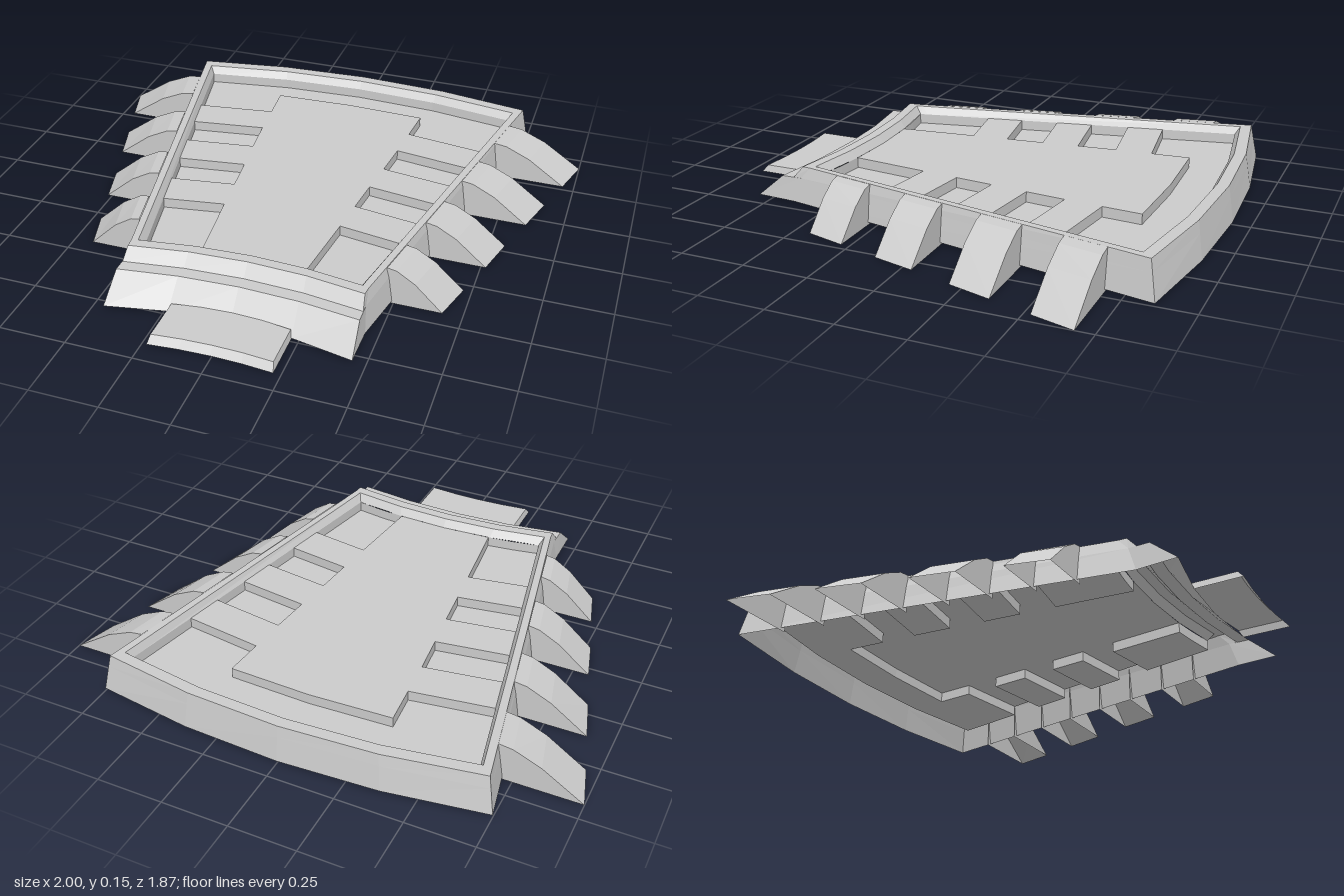
import * as THREE from 'three';

const material = new THREE.MeshStandardMaterial({
  color: 0xcccccc, flatShading: true, side: THREE.DoubleSide,
});

// Skin between successive rows of points
function loft(rows, closed = false) {
  const pos = [];
  const tri = (a, b, c) => {
    const t = new THREE.Triangle(a, b, c);
    if (t.getArea() > 1e-7) for (const p of [a, b, c]) pos.push(p.x, p.y, p.z);
  };
  for (let r = 0; r < rows.length - 1; r++) {
    const a = rows[r], b = rows[r + 1], n = a.length;
    for (let i = 0; i < (closed ? n : n - 1); i++) {
      const j = (i + 1) % n;
      tri(a[i], b[i], a[j]);
      tri(a[j], b[i], b[j]);
    }
  }
  const g = new THREE.BufferGeometry();
  g.setAttribute('position', new THREE.Float32BufferAttribute(pos, 3));
  g.computeVertexNormals();
  return g;
}

const V = (x, y, z) => new THREE.Vector3(x, y, z);

// Shallow arc of five points from -w to +w
function arc(w, zCorner, zMiddle, y) {
  return [-1, -0.5, 0, 0.5, 1].map(t => V(t * w, y, zMiddle + (zCorner - zMiddle) * t * t));
}

// Closed fan-shaped outline: back arc, side bend, front arc, side bend
function outline(back, bend, front) {
  const [x, y, z] = bend;
  return [...arc(...back), V(x, y, z), ...arc(...front).reverse(), V(-x, y, z)];
}

// Horizontal panel from [x, z] corners
function panel(points, y) {
  const shape = new THREE.Shape(points.map(([x, z]) => new THREE.Vector2(x, -z)));
  return new THREE.ShapeGeometry(shape).rotateX(-Math.PI / 2).translate(0, y, 0);
}

const mirror = pts => pts.map(([x, z]) => [-x, z]).reverse();

export function createModel() {
  const model = new THREE.Group();
  const add = (name, geometry, parent = model) => {
    const mesh = new THREE.Mesh(geometry, material);
    mesh.name = name;
    parent.add(mesh);
  };
  const FLOOR = 0.12, RECESS = 0.08;

  // Outer walls, stepped front, top rim and inner rim wall
  const midBack = [0.733, -0.843, -0.919, 0.105], midBend = [0.447, 0.105, 0.61];
  add('rimShell', loft([
    outline([0.75, -0.86, -0.933, 0.01], [0.455, 0.01, 0.64], [0.455, 0.795, 0.735, 0.015]),
    outline(midBack, midBend, [0.448, 0.69, 0.65, 0.105]),
    outline(midBack, midBend, [0.446, 0.642, 0.6, 0.105]),
    outline([0.725, -0.835, -0.912, 0.15], [0.443, 0.15, 0.57], [0.44, 0.603, 0.56, 0.15]),
    outline([0.687, -0.797, -0.868, 0.15], [0.425, 0.15, 0.53], [0.42, 0.56, 0.52, 0.15]),
    outline([0.67, -0.78, -0.848, FLOOR], [0.411, FLOOR, 0.505], [0.405, 0.535, 0.497, FLOOR]),
  ], true));

  // Floor edge on the left side at depth z
  const edge = z => [0.67 - 0.2015 * (z + 0.78), z];
  const frontEdge = x => [x, 0.497 + 0.038 * (x / 0.405) ** 2];

  // Raised centre plate with ribs reaching the side walls
  const backCut = [[0.316, -0.683], [0.304, -0.533], edge(-0.49)];
  const sideCuts = [
    [edge(-0.347), [0.293, -0.389], [0.277, -0.235], edge(-0.197)],
    [edge(-0.053), [0.26, -0.09], [0.245, 0.059], edge(0.096)],
  ];
  const frontCut = [edge(0.24), [0.23, 0.203], frontEdge(0.197)];
  const half = [...backCut, ...sideCuts.flat(), ...frontCut];
  add('centrePlate', panel([[0, -0.695], ...half, [0, 0.497], ...mirror(half)], FLOOR));

  // Recesses, each a lower panel with walls up to the plate
  const recess = (name, pts) => {
    const g = new THREE.Group();
    g.name = name;
    model.add(g);
    add('recessFloor', panel(pts, RECESS), g);
    add('recessWall', loft([
      pts.map(([x, z]) => V(x, RECESS, z)), pts.map(([x, z]) => V(x, FLOOR, z)),
    ], true), g);
  };
  const backRow = arc(0.67, -0.78, -0.848, 0).map(p => [p.x, p.z]);
  recess('backRecess', [...backRow, ...[...backCut].reverse(), [0, -0.695], ...mirror(backCut).reverse()]);
  const frontCorner = [...frontCut, frontEdge(0.3), [0.405, 0.535], [0.411, 0.505]];
  for (const pts of [...sideCuts, frontCorner]) {
    const name = pts === frontCorner ? 'frontRecess' : 'sideRecess';
    recess(name, pts);
    recess(name, mirror(pts));
  }

  // Curved buttresses: [back z, outer x at back, front z, outer x at front]
  const profile = [[0, 0.15], [0.17, 0.143], [0.5, 0.1], [1, 0]];
  const buttresses = [
    [-0.683, 1.0, -0.523, 0.955],
    [-0.363, 0.907, -0.2, 0.86],
    [-0.037, 0.81, 0.123, 0.768],
    [0.283, 0.72, 0.437, 0.677],
  ];
  const wallX = z => 0.725 - 0.1986 * (z + 0.835);
  for (const side of [1, -1]) {
    for (const [zb, xb, zf, xf] of buttresses) {
      const section = (z, outer) => profile.map(([t, y]) =>
        V(side * THREE.MathUtils.lerp(wallX(z), outer, t), y, z));
      const drop = row => row.map(p => V(p.x, 0, p.z));
      const back = section(zb, xb), front = section(zf, xf);
      const rows = [drop(back), back, front, drop(front)];
      if (side < 0) rows.reverse();
      add(side > 0 ? 'leftButtress' : 'rightButtress', loft(rows));
    }
  }

  // Low tongue at the front
  const rear = arc(0.22, 0.735, 0.715, 0.04), nose = arc(0.22, 0.91, 0.897, 0.04);
  const noseBase = arc(0.227, 0.933, 0.92, 0.012), rearBase = arc(0.227, 0.75, 0.73, 0.012);
  add('frontTongue', loft([rear, nose, noseBase].reverse().map(r => [...r].reverse())));
  add('tongueSide', loft([[rearBase[4], noseBase[4]], [rear[4], nose[4]]].map(r => r.reverse())));
  add('tongueSide', loft([[rearBase[0], noseBase[0]], [rear[0], nose[0]]]));
  return model;
}
